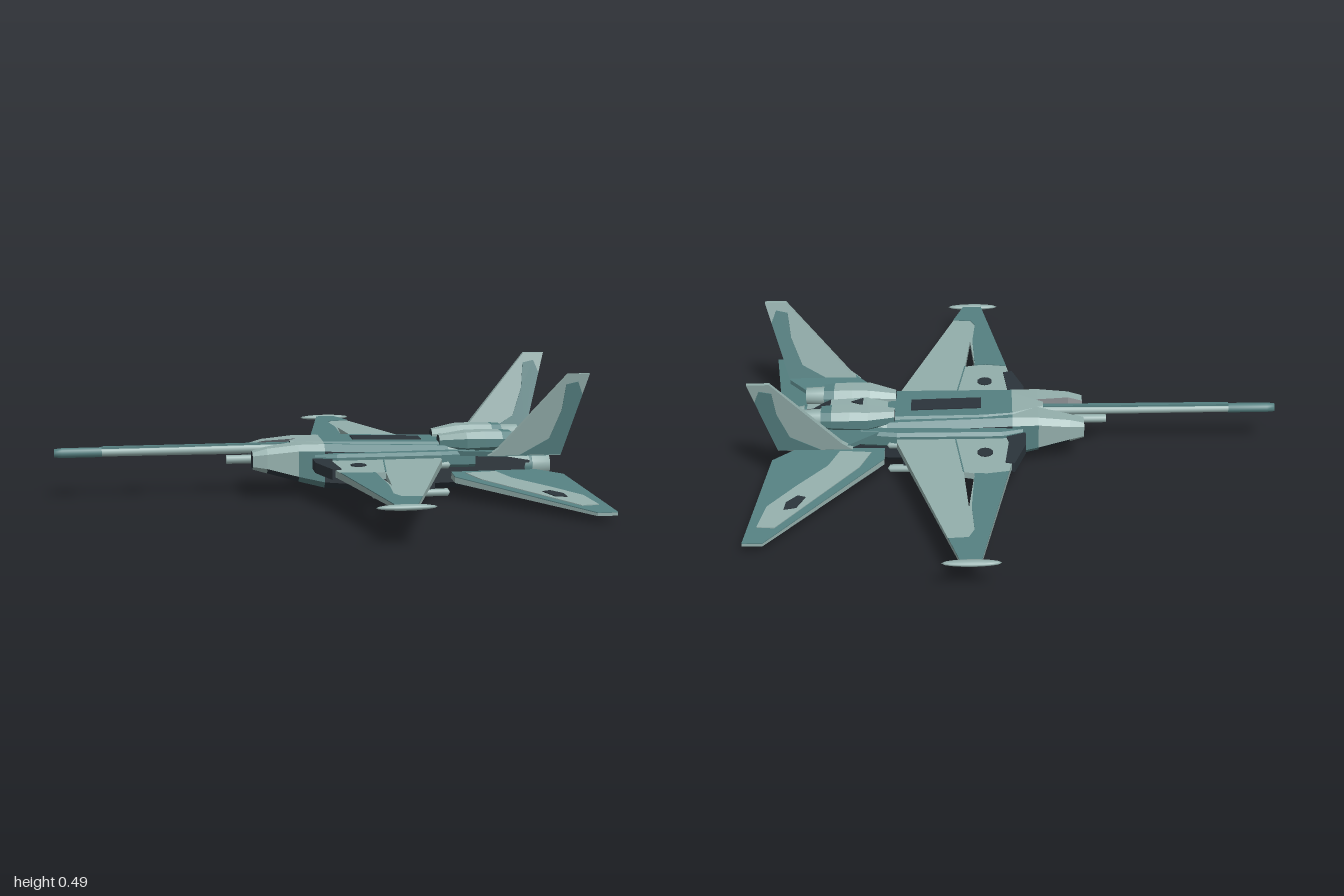
import * as THREE from 'three';

const material = (name, color) => {
  const m = new THREE.MeshStandardMaterial({ color });
  m.name = name;
  return m;
};

export function createModel() {
  const light = material('pale grey green', 0x93aeab);
  const teal = material('camouflage teal', 0x558081);
  const dark = material('charcoal', 0x2b343b);
  const palette = [light, teal, dark];
  const L = 0, T = 1, D = 2;

  const add = (parent, name, geometry, mat) => {
    const mesh = new THREE.Mesh(geometry, mat);
    mesh.name = name;
    parent.add(mesh);
    return mesh;
  };

  // Chamfered box hull along x; stations are [x, zIn, zOut, yLow, yHigh, chamfer].
  // Faces run: top, outer chamfer, outer side, low chamfer, bottom, inner three.
  const hull = (stations, colourOf) => {
    const rings = stations.map(([x, a, b, l, h, c]) => [
      [a + c, h], [b - c, h], [b, h - c], [b, l + c], [b - c, l], [a + c, l], [a, l + c], [a, h - c],
    ].map(([z, y]) => [x, y, z]));
    const buckets = [[], [], []];
    rings.forEach((r, i) => {
      for (let j = 0; j < 8; j++) {
        const k = (j + 1) % 8, next = rings[i + 1];
        if (next) buckets[colourOf(i, j)].push(r[j], r[k], next[k], r[j], next[k], next[j]);
      }
    });
    const first = rings[0], last = rings[rings.length - 1];
    for (let j = 1; j < 7; j++) {
      buckets[D].push(first[0], first[j + 1], first[j], last[0], last[j], last[j + 1]);
    }
    const g = new THREE.BufferGeometry();
    g.setAttribute('position', new THREE.Float32BufferAttribute(buckets.flat(2), 3));
    let start = 0;
    buckets.forEach((b, i) => { g.addGroup(start, b.length, i); start += b.length; });
    g.computeVertexNormals();
    return g;
  };

  // Flat outline extruded by one unit, then placed by a rule (x, u, v) -> [x, y, z].
  const slab = (points, rule, hole) => {
    const vec = (list) => list.map((p) => new THREE.Vector2(...p));
    const shape = new THREE.Shape(vec(points));
    if (hole) shape.holes.push(new THREE.Path(vec(hole)));
    const g = new THREE.ExtrudeGeometry(shape, { depth: 1, bevelEnabled: false });
    const p = g.attributes.position;
    for (let i = 0; i < p.count; i++) p.setXYZ(i, ...rule(p.getX(i), p.getY(i), p.getZ(i)));
    g.clearGroups();
    g.computeVertexNormals();
    return g;
  };

  // Revolved shape along x from [x, radius] pairs.
  const turned = (profile, y, z, segments = 16) => {
    const g = new THREE.LatheGeometry(profile.map(([x, r]) => new THREE.Vector2(r, -x)).reverse(), segments);
    return g.rotateZ(Math.PI / 2).translate(0, y, z);
  };

  const model = new THREE.Group();
  model.name = 'aircraft';
  const side = new THREE.Group();
  side.name = 'frontSide';

  // Twin lower hulls with forked noses
  const nacelle = [
    [-0.255, 0.05, 0.118, 0.125, 0.19, 0.012], [-0.2, 0.043, 0.13, 0.11, 0.205, 0.02],
    [-0.08, 0.008, 0.132, 0.075, 0.217, 0.022], [0.02, 0.008, 0.132, 0.048, 0.217, 0.025],
    [0.22, 0.01, 0.132, 0.03, 0.21, 0.025], [0.5, 0.01, 0.132, 0.035, 0.2, 0.025],
    [0.7, 0.012, 0.13, 0.045, 0.19, 0.03], [0.82, 0.02, 0.128, 0.06, 0.17, 0.032],
  ];
  const nacelleColour = (i, j) => {
    if (j === 0 || j === 1) return i === 3 || i === 4 ? T : L;
    if (j === 2) return [L, L, T, D, D, D, D][i];
    if (j === 3) return i < 1 ? L : i === 2 ? T : D;
    if (j === 4) return i < 2 ? L : i === 3 || i === 6 ? T : D;
    return D;
  };
  add(side, 'engineHull', hull(nacelle, nacelleColour), palette);

  // Wing root shoulder
  add(side, 'wingShoulder', hull([
    [-0.02, 0.1, 0.14, 0.13, 0.18, 0.008], [0.06, 0.1, 0.172, 0.125, 0.186, 0.012],
    [0.46, 0.1, 0.172, 0.125, 0.186, 0.012], [0.6, 0.1, 0.15, 0.12, 0.185, 0.012],
  ], () => T), palette);

  // Slotted wing with painted leading edge
  const wingTop = (z) => 0.166 - 0.016 * z;
  const wingRule = (x, z, v) => [x, wingTop(z) - v * (0.034 - 0.022 * z), z];
  const paintRule = (topAt, t = 0.003) => (x, z, v) => [x, topAt(z) + t * (1 - v), z];
  add(side, 'wing', slab(
    [[-0.02, 0.1], [-0.02, 0.2], [0.03, 0.36], [0.14, 0.95], [0.215, 0.95], [0.46, 0.19], [0.46, 0.1]],
    wingRule, [[0.185, 0.63], [0.165, 0.41], [0.205, 0.4]]), light);
  add(side, 'wingLeadingPaint', slab(
    [[0.037, 0.4], [0.14, 0.95], [0.215, 0.95], [0.257, 0.82], [0.185, 0.815], [0.165, 0.77],
      [0.175, 0.63], [0.165, 0.41], [0.12, 0.415]], paintRule(wingTop), null), teal);
  add(side, 'leadingEdgePanel', slab(
    [[-0.03, 0.14], [-0.03, 0.22], [0.015, 0.35], [0.05, 0.34], [0.035, 0.2], [0.05, 0.14]],
    (x, z, v) => [x, wingTop(z) + 0.005 - v * 0.04, z]), dark);
  add(side, 'wingHatch', new THREE.CylinderGeometry(0.03, 0.03, 0.004, 10).translate(0.125, wingTop(0.27) + 0.002, 0.27), dark);
  add(side, 'wingPanelLine', slab([[0.203, 0.4], [0.208, 0.4], [0.24, 0.17], [0.235, 0.17]], paintRule(wingTop, 0.002)), teal);

  // Flat wing tip pod
  const pod = new THREE.SphereGeometry(1, 16, 8).scale(0.105, 0.011, 0.017).translate(0.175, 0.147, 0.958);
  add(side, 'wingTipPod', pod, light);

  // Drooping tailplane
  const tailTop = (z) => 0.112 - 0.1 * z;
  add(side, 'tailplane', slab(
    [[0.51, 0.11], [0.51, 0.2], [0.925, 0.68], [1, 0.68], [0.935, 0.2], [0.82, 0.11]],
    (x, z, v) => [x, tailTop(z) - v * (0.026 - 0.022 * z), z]), light);
  add(side, 'tailplanePaint', slab(
    [[0.51, 0.11], [0.51, 0.2], [0.925, 0.68], [1, 0.68], [0.935, 0.2], [0.82, 0.11]], paintRule(tailTop)), teal);
  add(side, 'tailplanePanel', slab(
    [[0.56, 0.16], [0.6, 0.25], [0.89, 0.6], [0.955, 0.595], [0.93, 0.48], [0.83, 0.36], [0.72, 0.24], [0.68, 0.15]],
    paintRule((z) => tailTop(z) + 0.003)), light);
  add(side, 'tailplaneHatch', slab([[0.79, 0.43], [0.82, 0.49], [0.865, 0.5], [0.86, 0.46], [0.82, 0.42]],
    paintRule((z) => tailTop(z) + 0.006)), dark);

  // Canted tail fin on a sloping shelf
  add(side, 'finShelf', slab([[0.5, 0.12], [0.64, 0.27], [0.9, 0.27], [0.9, 0.24], [0.78, 0.12]],
    (x, z, v) => [x, 0.165 + 0.13 * z - v * 0.018, z]), teal);
  const finZ = (y) => 0.263 + (y - 0.19) * 0.21;
  add(side, 'tailFin', slab([[0.62, 0.185], [0.9, 0.185], [0.988, 0.5], [0.905, 0.5], [0.66, 0.215]],
    (x, y, v) => [x, y, finZ(y) + (v - 0.5) * (0.024 - 0.03 * (y - 0.19))]), light);
  add(side, 'finPaint', slab([[0.74, 0.187], [0.9, 0.187], [0.965, 0.42], [0.945, 0.47], [0.9, 0.46], [0.89, 0.36], [0.85, 0.25]],
    (x, y, v) => [x, y, finZ(y) + (v - 0.5) * (0.029 - 0.03 * (y - 0.19))]), teal);

  // Main exhaust
  add(side, 'mainNozzle', turned([[0.76, 0], [0.76, 0.05], [0.83, 0.054], [0.905, 0.043], [0.905, 0.034], [0.86, 0.036]], 0.112, 0.075), light);
  add(side, 'mainExhaust', turned([[0.85, 0], [0.85, 0.037], [0.865, 0.037], [0.865, 0]], 0.112, 0.075), dark);
  add(side, 'nozzleBand', turned([[0.8, 0.054], [0.803, 0.0565], [0.828, 0.0565], [0.831, 0.054]], 0.112, 0.075), teal);

  // Upper booster engine
  add(side, 'upperEngine', hull([
    [0.47, 0.04, 0.1, 0.18, 0.235, 0.016], [0.57, 0.03, 0.138, 0.17, 0.25, 0.022],
    [0.64, 0.03, 0.14, 0.17, 0.252, 0.024], [0.71, 0.03, 0.138, 0.172, 0.25, 0.024],
    [0.75, 0.035, 0.132, 0.176, 0.248, 0.024],
  ], (i, j) => (j === 2 || j === 3 || i === 3 ? T : L)), palette);
  add(side, 'upperNozzle', turned([[0.73, 0], [0.73, 0.036], [0.82, 0.032], [0.82, 0.025], [0.79, 0.026]], 0.212, 0.085), light);
  add(side, 'upperExhaust', turned([[0.785, 0], [0.785, 0.027], [0.795, 0.027], [0.795, 0]], 0.212, 0.085), dark);

  // Underwing store and pylon
  add(side, 'store', turned([[0.195, 0], [0.2, 0.017], [0.37, 0.019], [0.375, 0.015], [0.49, 0.015], [0.5, 0]], 0.028, 0.16, 12), light);
  add(side, 'storeBand', turned([[0.37, 0.017], [0.372, 0.0205], [0.395, 0.0205], [0.397, 0.017]], 0.028, 0.16, 12), teal);
  add(side, 'pylon', new THREE.BoxGeometry(0.2, 0.1, 0.014).translate(0.34, 0.09, 0.158), dark);
  add(side, 'storeTailFairing', turned([[0.42, 0], [0.42, 0.014], [0.49, 0.014], [0.5, 0]], 0.135, 0.163, 10), light);

  // Side hatch behind the nose
  add(side, 'sideHatch', new THREE.BoxGeometry(0.06, 0.04, 0.006).translate(0.3, 0.09, 0.133), teal);

  const mirrored = side.clone();
  mirrored.name = 'backSide';
  mirrored.scale.z = -1;
  model.add(side, mirrored);

  // Central spine joining both hulls
  add(model, 'spine', hull([
    [-0.1, -0.025, 0.025, 0.14, 0.215, 0.01], [0.02, -0.09, 0.09, 0.1, 0.222, 0.012],
    [0.13, -0.1, 0.1, 0.09, 0.22, 0.012], [0.5, -0.09, 0.09, 0.09, 0.21, 0.012],
    [0.58, -0.07, 0.07, 0.09, 0.232, 0.012], [0.72, -0.05, 0.05, 0.09, 0.225, 0.012],
    [0.82, -0.04, 0.04, 0.1, 0.17, 0.012],
  ], (i, j) => (j > 2 && j < 6 ? D : [L, T, T, L, L, D][i])), palette);
  add(model, 'spinePanel', new THREE.BoxGeometry(0.27, 0.008, 0.076).rotateZ(-0.027).translate(0.275, 0.2165, 0), dark);
  add(model, 'spineHatch', new THREE.CylinderGeometry(0.03, 0.03, 0.006, 3).rotateY(Math.PI / 2).translate(0.61, 0.231, 0), dark);

  // Long nose barrel and short lower gun
  add(model, 'barrel', turned([[-0.83, 0], [-0.83, 0.016], [-0.05, 0.02], [-0.05, 0]], 0.187, 0, 10), light);
  add(model, 'barrelTip', turned([[-1, 0], [-1, 0.016], [-0.97, 0.019], [-0.82, 0.019], [-0.82, 0]], 0.188, 0, 10), teal);
  add(model, 'barrelRail', new THREE.BoxGeometry(0.72, 0.008, 0.018).translate(-0.46, 0.205, 0), teal);
  add(model, 'lowerGun', turned([[-0.345, 0], [-0.345, 0.017], [-0.08, 0.017], [-0.08, 0]], 0.147, 0, 10), light);

  return model;
}
